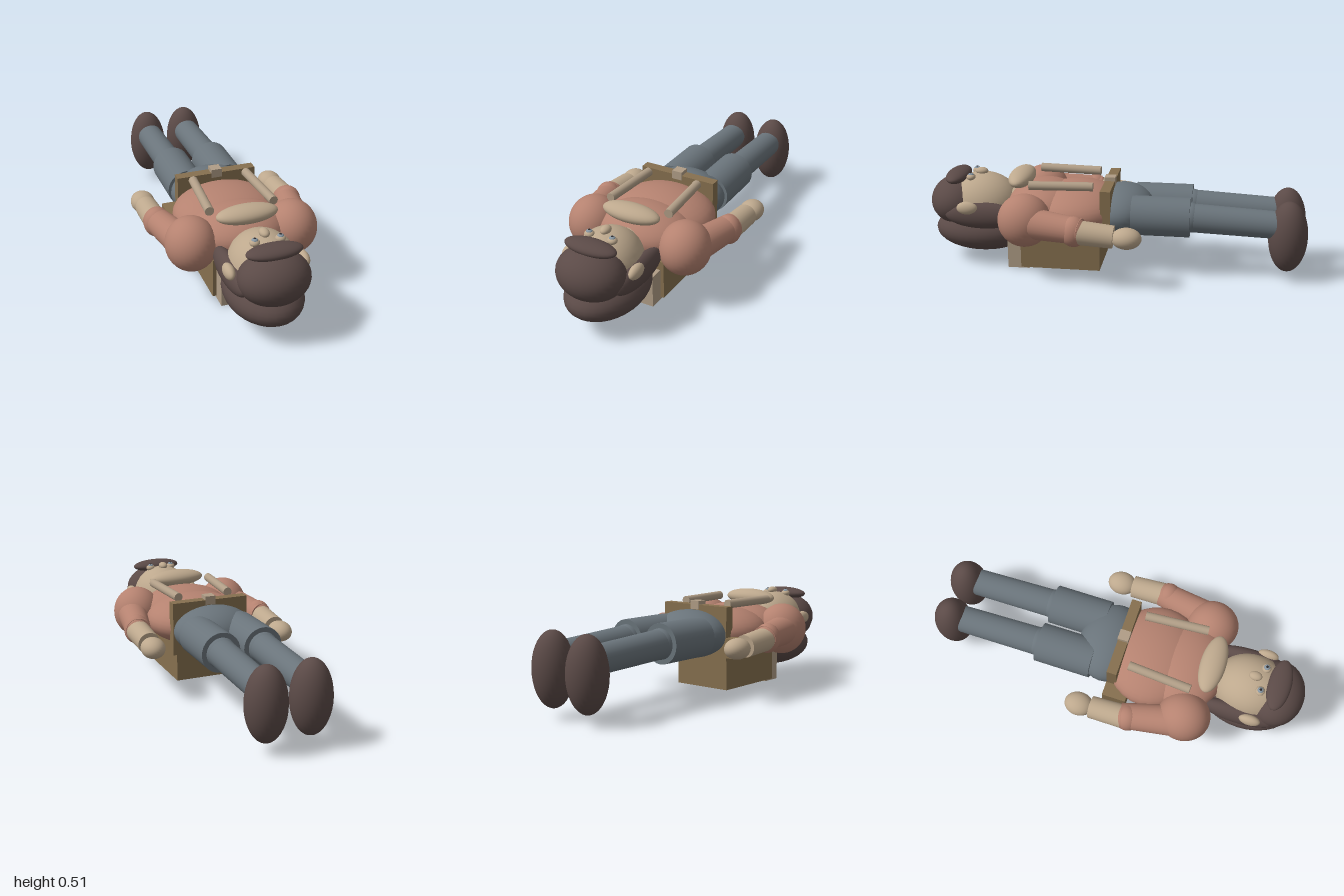
import * as THREE from 'three';

export function createModel() {
  const model = new THREE.Group();
  model.name = 'lyingTraveller';
  const mat = (name, color) => {
    const m = new THREE.MeshStandardMaterial({ color });
    m.name = name;
    return m;
  };
  const skin = mat('skin', 0xbda88d);
  const shirt = mat('clayShirt', 0xb58270);
  const hair = mat('darkBrown', 0x5b4a47);
  const trousers = mat('greyTrousers', 0x6a747b);
  const leather = mat('leather', 0x86704f);
  const canvas = mat('canvas', 0xb09d86);
  const iris = mat('iris', 0x8795a0);
  const pupil = mat('pupil', 0x2d2a2c);

  const add = (name, geometry, material, pos) => {
    const mesh = new THREE.Mesh(geometry, material);
    mesh.name = name;
    mesh.position.set(...pos);
    model.add(mesh);
    return mesh;
  };
  const ball = (name, material, pos, radii) => {
    const mesh = add(name, new THREE.SphereGeometry(1, 32, 20), material, pos);
    mesh.scale.set(...radii);
    return mesh;
  };
  const box = (name, material, min, max) => add(name,
    new THREE.BoxGeometry(max[0] - min[0], max[1] - min[1], max[2] - min[2]), material,
    min.map((v, i) => (v + max[i]) / 2));
  // Tapered limb between two points: ra at a, rb at b
  const limb = (name, material, a, b, ra, rb) => {
    const start = new THREE.Vector3(...a), end = new THREE.Vector3(...b);
    const dir = end.clone().sub(start);
    const mesh = add(name, new THREE.CylinderGeometry(rb, ra, dir.length(), 28), material,
      start.clone().add(end).multiplyScalar(0.5).toArray());
    mesh.quaternion.setFromUnitVectors(new THREE.Vector3(0, 1, 0), dir.normalize());
    return mesh;
  };

  // Head, lying face up with its crown towards +z
  ball('head', skin, [0, 0.31, 0.72], [0.168, 0.168, 0.2]);
  limb('neck', skin, [0, 0.31, 0.46], [0, 0.31, 0.62], 0.09, 0.09);
  ball('nose', skin, [0, 0.485, 0.722], [0.024, 0.02, 0.034]);
  ball('crownHair', hair, [0, 0.325, 0.855], [0.175, 0.13, 0.145]);
  ball('backHair', hair, [0, 0.172, 0.72], [0.188, 0.117, 0.262]);
  ball('fringe', hair, [0, 0.46, 0.85], [0.138, 0.034, 0.06]);

  // Torso and scarf
  ball('chest', shirt, [0, 0.325, 0.38], [0.25, 0.122, 0.2]);
  ball('belly', shirt, [0, 0.315, 0.2], [0.275, 0.13, 0.25]);
  ball('scarf', skin, [0, 0.465, 0.502], [0.157, 0.045, 0.066]);

  // Hips and belt
  ball('hips', trousers, [0, 0.315, -0.04], [0.215, 0.127, 0.17]);
  box('belt', leather, [-0.21, 0.183, 0.003], [0.21, 0.465, 0.055]);
  box('buckle', canvas, [-0.028, 0.44, 0.001], [0.028, 0.485, 0.057]);
  box('pouch', leather, [-0.283, 0.2, 0], [-0.2, 0.305, 0.125]);

  // Pack under the back, with a light top flap
  box('pack', leather, [-0.167, 0.013, 0.065], [0.167, 0.22, 0.485]);
  box('packFlap', canvas, [-0.148, 0, 0.445], [0.148, 0.172, 0.56]);

  // Mirrored parts
  for (const [side, s] of [['left', 1], ['right', -1]]) {
    const n = part => side + part;

    // Face and side hair
    ball(n('SideHair'), hair, [s * 0.152, 0.288, 0.69], [0.05, 0.072, 0.2]);
    ball(n('Ear'), skin, [s * 0.184, 0.335, 0.76], [0.027, 0.035, 0.056]);
    ball(n('Eye'), skin, [s * 0.063, 0.468, 0.765], [0.025, 0.018, 0.024]);
    ball(n('Iris'), iris, [s * 0.063, 0.479, 0.765], [0.016, 0.012, 0.016]);
    ball(n('Pupil'), pupil, [s * 0.063, 0.488, 0.765], [0.007, 0.005, 0.007]);

    // Pack strap across the chest
    limb(n('Strap'), canvas, [s * 0.142, 0.468, 0.1], [s * 0.165, 0.468, 0.43], 0.023, 0.023);

    // Arm
    ball(n('Shoulder'), shirt, [s * 0.262, 0.313, 0.437], [0.128, 0.137, 0.137]);
    limb(n('UpperArm'), shirt, [s * 0.305, 0.312, 0.38], [s * 0.358, 0.302, 0.13], 0.08, 0.066);
    ball(n('Elbow'), shirt, [s * 0.356, 0.3, 0.165], [0.068, 0.078, 0.068]);
    limb(n('Forearm'), skin, [s * 0.358, 0.298, 0.15], [s * 0.358, 0.282, -0.035], 0.062, 0.058);
    ball(n('Hand'), skin, [s * 0.36, 0.278, -0.1], [0.062, 0.054, 0.076]);

    // Leg
    limb(n('Thigh'), trousers, [s * 0.113, 0.315, -0.1], [s * 0.113, 0.315, -0.4], 0.103, 0.103);
    ball(n('Knee'), trousers, [s * 0.113, 0.315, -0.4], [0.078, 0.078, 0.07]);
    limb(n('Shin'), trousers, [s * 0.113, 0.315, -0.39], [s * 0.113, 0.296, -0.84], 0.075, 0.071);
    ball(n('Shoe'), hair, [s * 0.114, 0.236, -0.9], [0.102, 0.187, 0.1]);
  }
  return model;
}
